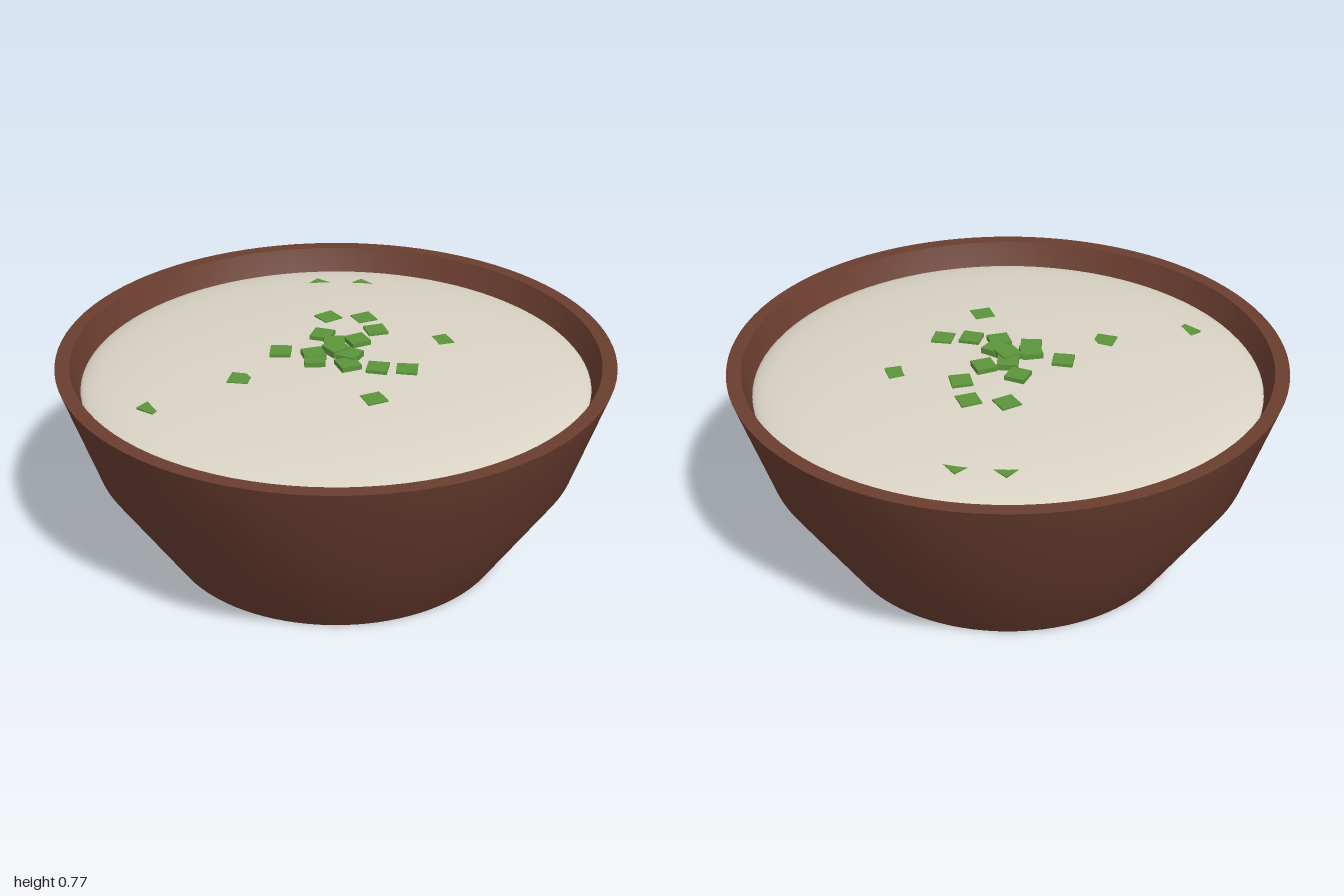
import * as THREE from 'three';

const clay = new THREE.MeshStandardMaterial({ name: 'brownClay', color: 0x6b3e30 });
const cream = new THREE.MeshStandardMaterial({ name: 'creamSoup', color: 0xdad4c5 });
const green = new THREE.MeshStandardMaterial({ name: 'greenHerb', color: 0x5c943c });

// Lathe strip from [radius, height] pairs; separate strips keep their shared edges sharp
function turned(name, points) {
  const geometry = new THREE.LatheGeometry(points.map(([r, y]) => new THREE.Vector2(r, y)), 96);
  const mesh = new THREE.Mesh(geometry, clay);
  mesh.name = name;
  return mesh;
}

export function createModel() {
  const model = new THREE.Group();
  model.name = 'soupBowl';

  // Bowl: base, outer wall, flat rim and inner wall
  const bowl = new THREE.Group();
  bowl.name = 'bowl';
  bowl.add(
    turned('bowlBase', [[0, 0], [0.625, 0]]),
    turned('bowlOuterWall', [[0.625, 0], [0.875, 0.38], [1, 0.75]]),
    turned('bowlRim', [[1, 0.75], [0.948, 0.75]]),
    turned('bowlInnerWall', [[0.948, 0.75], [0.82, 0.38], [0.58, 0.06], [0, 0.06]]),
  );
  model.add(bowl);

  // Soup: flattened dome
  const dome = new THREE.SphereGeometry(1, 96, 24, 0, Math.PI * 2, 0, Math.PI / 2);
  const soup = new THREE.Mesh(dome, cream);
  soup.name = 'soup';
  soup.scale.set(0.917, 0.1, 0.917);
  soup.position.y = 0.648;
  model.add(soup);

  // Herb pieces: x, z and turn in degrees; they sink deeper away from the centre
  const herbs = new THREE.Group();
  herbs.name = 'herbs';
  const pieces = [
    [0.14, -0.275, 3], [0.25, -0.2, -6], [0.03, -0.14, 40], [-0.165, -0.11, 55],
    [0.222, -0.078, -15], [0.11, -0.03, -5], [0.025, -0.05, 60], [-0.085, -0.015, -15],
    [-0.105, 0.025, 60], [0, 0, 5], [0.02, 0.06, 30], [-0.022, 0.115, -10],
    [0.057, 0.185, 48], [0.145, 0.24, 52], [-0.07, 0.355, -8], [0.39, 0.097, -10],
    [-0.382, -0.025, 45], [-0.715, -0.05, 20], [0.305, -0.605, 20], [0.44, -0.515, 10],
  ];
  const chip = new THREE.BoxGeometry(0.075, 0.025, 0.075);
  for (const [x, z, turn] of pieces) {
    const piece = new THREE.Mesh(chip, green);
    piece.name = 'herbPiece';
    piece.position.set(x, 0.7625 - 0.09 * Math.hypot(x, z), z);
    piece.rotation.y = THREE.MathUtils.degToRad(turn);
    herbs.add(piece);
  }
  model.add(herbs);

  return model;
}
